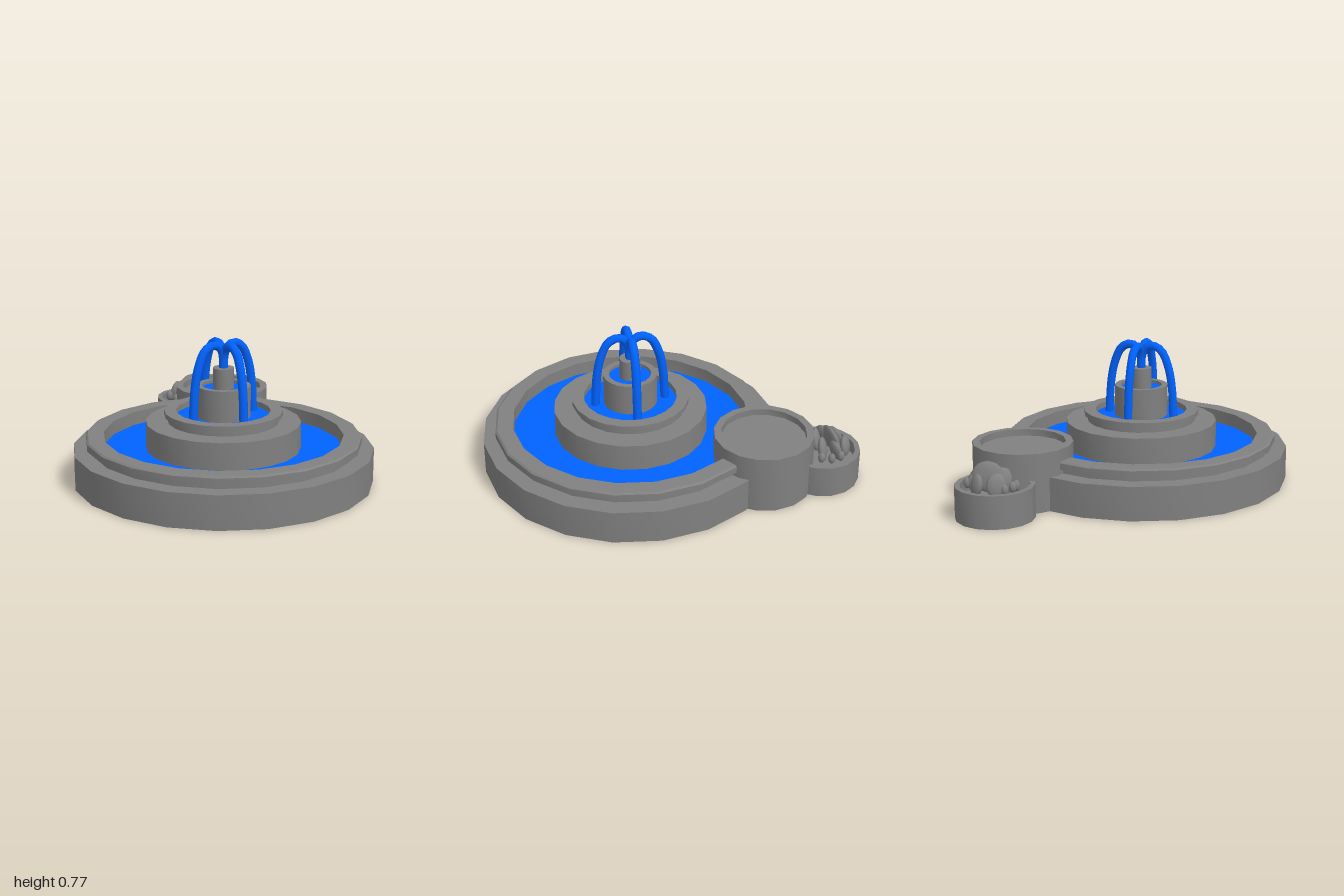
import * as THREE from 'three';
import { toCreasedNormals } from 'three/addons/utils/BufferGeometryUtils.js';

const SIDES = 20;
const stone = new THREE.MeshStandardMaterial({ color: 0x808080, side: THREE.DoubleSide });
const water = new THREE.MeshStandardMaterial({ color: 0x0063ff, side: THREE.DoubleSide });

function add(parent, name, geometry, material, x = 0, y = 0, z = 0) {
  const mesh = new THREE.Mesh(geometry, material);
  mesh.name = name;
  mesh.position.set(x, y, z);
  parent.add(mesh);
  return mesh;
}

// Turned part from [radius, height] pairs, with crisp rims
function turned(profile, segments = SIDES, start = 0, length = Math.PI * 2) {
  const points = profile.map(([r, y]) => new THREE.Vector2(r, y));
  return toCreasedNormals(new THREE.LatheGeometry(points, segments, start, length), 0.5);
}

const disc = (radius) => new THREE.CircleGeometry(radius, SIDES).rotateX(-Math.PI / 2);

export function createModel() {
  const model = new THREE.Group();
  const fountain = new THREE.Group();
  fountain.name = 'fountain';
  fountain.position.z = 0.18;
  model.add(fountain);

  // Outer basin: stepped wall, broken where the round tower stands
  const step = (Math.PI * 2) / SIDES;
  const wall = [
    [0.815, 0], [0.815, 0.185], [0.72, 0.185], [0.72, 0.212], [0.748, 0.212],
    [0.748, 0.248], [0.738, 0.256], [0.65, 0.256], [0.65, 0.175],
  ];
  add(fountain, 'basinWall', turned(wall, 18, step * 9, step * 18), stone);
  // Short piece that runs the wall into the tower
  add(fountain, 'basinWallEnd', turned(wall, 1, step * 7, 0.06), stone);

  // Basin water, with the corner under the tower drawn in to its edge
  const pool = disc(0.65);
  const corner = new THREE.Vector3().fromBufferAttribute(pool.attributes.position, 4);
  corner.setLength(0.505);
  pool.attributes.position.setXYZ(4, corner.x, corner.y, corner.z);
  add(fountain, 'basinWater', pool, water, 0, 0.18);

  // Middle tier with its lipped bowl
  add(fountain, 'middleTier', turned([
    [0.42, 0.17], [0.42, 0.328], [0.302, 0.328], [0.302, 0.36],
    [0.32, 0.36], [0.32, 0.387], [0.255, 0.387], [0.255, 0.33],
  ]), stone);
  add(fountain, 'middleWater', disc(0.255), water, 0, 0.355);

  // Pedestal, its small pool and the spout
  add(fountain, 'pedestal', turned([
    [0.147, 0.34], [0.147, 0.527], [0.115, 0.527], [0.115, 0.49],
  ]), stone);
  add(fountain, 'pedestalWater', disc(0.115), water, 0, 0.51);
  add(fountain, 'spout', turned([
    [0.057, 0.5], [0.057, 0.623], [0, 0.623],
  ]), stone);

  // Four arching jets
  const path = new THREE.CatmullRomCurve3([
    [0, 0.61], [0.006, 0.7], [0.03, 0.74], [0.07, 0.752], [0.12, 0.725],
    [0.16, 0.64], [0.182, 0.53], [0.194, 0.35],
  ].map(([x, y]) => new THREE.Vector3(x, y, 0)));
  const jet = new THREE.TubeGeometry(path, 20, 0.024, 8);
  for (let i = 0; i < 4; i++) {
    add(fountain, 'waterJet', jet, water).rotation.y = (i * Math.PI) / 2;
  }

  // Round tower with a sunken top, open beneath
  add(model, 'roundTower', turned([
    [0.27, 0], [0.27, 0.322], [0.23, 0.322], [0.23, 0.285], [0, 0.285],
  ], 16), stone, 0.42, 0, -0.462);

  // Planter behind the tower
  const planter = new THREE.Group();
  planter.name = 'planter';
  planter.position.set(0.42, 0, -0.79);
  model.add(planter);
  add(planter, 'planterPot', turned([
    [0.21, 0], [0.21, 0.178], [0.182, 0.178], [0.182, 0.11], [0, 0.11],
  ], 16), stone);

  // Broad flat leaves: x, y, z, half width, half height, heading
  const leaf = new THREE.SphereGeometry(1, 12, 8);
  const leaves = [
    [-0.06, 0.2, -0.09, 0.055, 0.065, 0.6], [0.04, 0.2, -0.12, 0.05, 0.06, -0.6],
    [0.01, 0.23, -0.05, 0.09, 0.08, 0.2], [-0.06, 0.21, -0.03, 0.055, 0.07, 0.6],
    [-0.05, 0.2, 0.015, 0.055, 0.065, -0.5], [0.05, 0.2, 0.01, 0.05, 0.07, -0.5],
    [0.075, 0.2, -0.055, 0.045, 0.06, 0.4],
  ];
  for (const [x, y, z, width, height, heading] of leaves) {
    const mesh = add(planter, 'leaf', leaf, stone, x, y, z);
    mesh.scale.set(width, height, 0.023);
    mesh.rotation.set(0.2, heading, 0.1, 'YXZ');
  }

  // Small buds at the sides of the plant
  for (const [x, y, z] of [
    [-0.13, 0.19, -0.05], [-0.12, 0.18, 0.01], [-0.1, 0.18, -0.08],
    [0.12, 0.19, -0.07], [0.12, 0.18, -0.02], [0.1, 0.18, 0.03],
  ]) {
    add(planter, 'bud', leaf, stone, x, y, z).scale.set(0.02, 0.03, 0.02);
  }

  return model;
}
